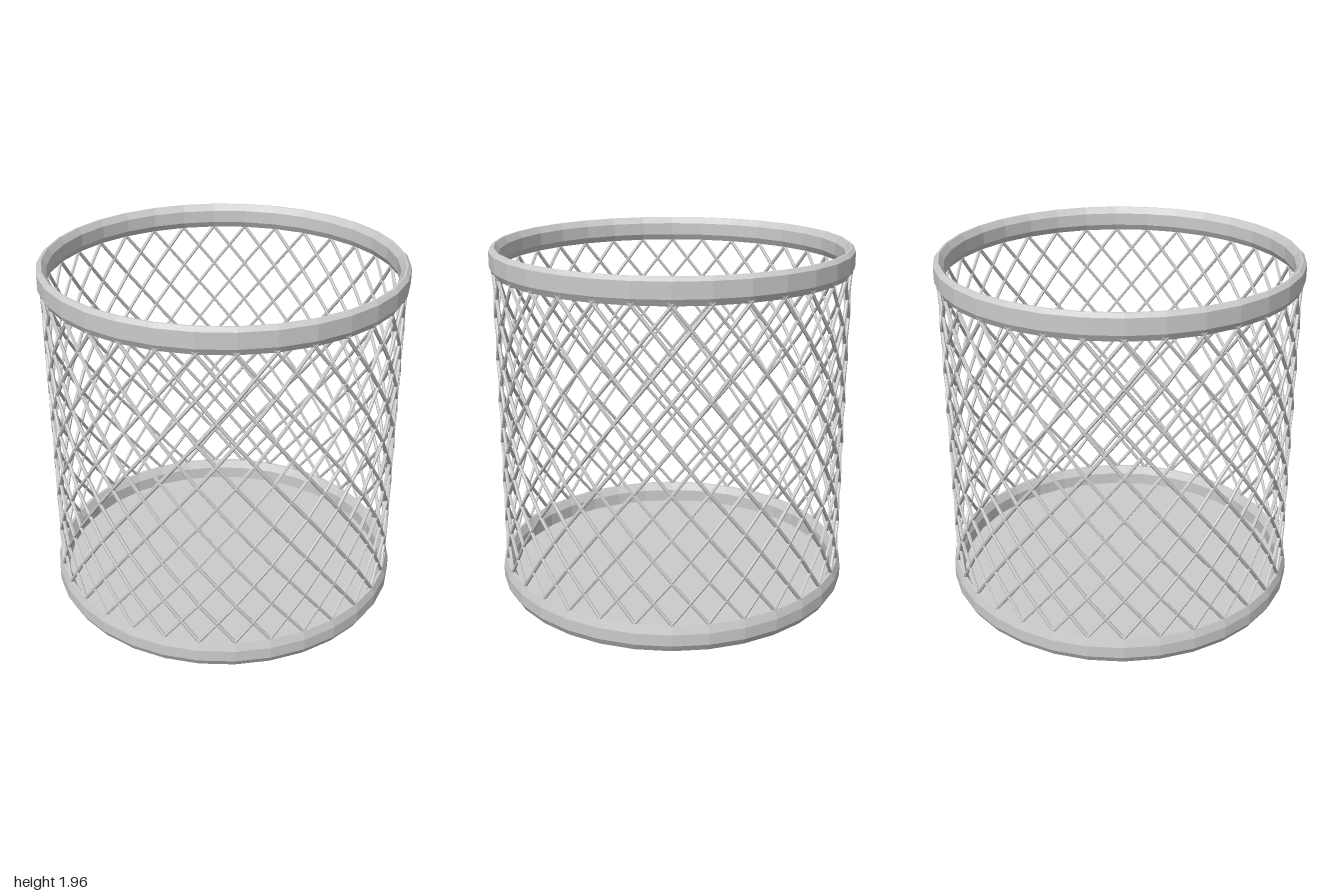
import * as THREE from 'three';

const SIDES = 32;      // facets of the rims, and wires in each direction
const STEPS = 7;       // facets crossed by one wire from rim to rim
const WIRE_PATH = 0.973, WIRE_R = 0.01;
const LOW = 0.13, HIGH = 1.84; // wire ends, tucked into the rims

const material = new THREE.MeshStandardMaterial({ color: 0xcccccc, flatShading: true });

// Faceted ring turned from a closed profile (up the outside, down the inside)
function ring(name, profile) {
  const points = [...profile, profile[0]].map(([r, y]) => new THREE.Vector2(r, y));
  const mesh = new THREE.Mesh(new THREE.LatheGeometry(points, SIDES), material);
  mesh.name = name;
  return mesh;
}

// One slanting wire that follows the facets; dir = 1 or -1
function wireGeometry(dir) {
  const pitch = (1.82 - 0.15) / STEPS;
  const at = (i) => {
    const a = (dir * i * Math.PI * 2) / SIDES;
    return new THREE.Vector3(Math.sin(a) * WIRE_PATH, 0.15 + i * pitch, Math.cos(a) * WIRE_PATH);
  };
  const path = new THREE.CurvePath();
  for (let i = 0; i < STEPS; i++) {
    const a = at(i), b = at(i + 1);
    if (i === 0) a.lerp(b, (LOW - 0.15) / pitch);
    if (i === STEPS - 1) b.lerp(at(i), (1.82 - HIGH) / pitch);
    path.add(new THREE.LineCurve3(a, b));
  }
  return new THREE.TubeGeometry(path, STEPS * 2, WIRE_R, 6, false);
}

export function createModel() {
  const model = new THREE.Group();
  model.name = 'wireBasket';

  // Bevelled rims
  model.add(ring('topRim', [
    [0.975, 1.82], [0.994, 1.855], [0.994, 1.94], [0.975, 1.96],
    [0.965, 1.96], [0.94, 1.925], [0.94, 1.855], [0.96, 1.82],
  ]));
  model.add(ring('bottomRim', [
    [0.975, 0], [0.998, 0.04], [0.998, 0.105], [0.982, 0.15],
    [0.965, 0.15], [0.94, 0.105], [0.94, 0.02], [0.95, 0],
  ]));

  // Solid floor
  const floor = new THREE.Mesh(new THREE.CylinderGeometry(0.96, 0.96, 0.03, SIDES), material);
  floor.position.y = 0.015;
  floor.name = 'floor';
  model.add(floor);

  // Crossing wires of the mesh wall
  const wall = new THREE.Group();
  wall.name = 'meshWall';
  for (const dir of [1, -1]) {
    const geometry = wireGeometry(dir);
    for (let i = 0; i < SIDES; i++) {
      const wire = new THREE.Mesh(geometry, material);
      wire.rotation.y = (i * Math.PI * 2) / SIDES;
      wire.name = dir > 0 ? 'leftWire' : 'rightWire';
      wall.add(wire);
    }
  }
  model.add(wall);
  return model;
}
